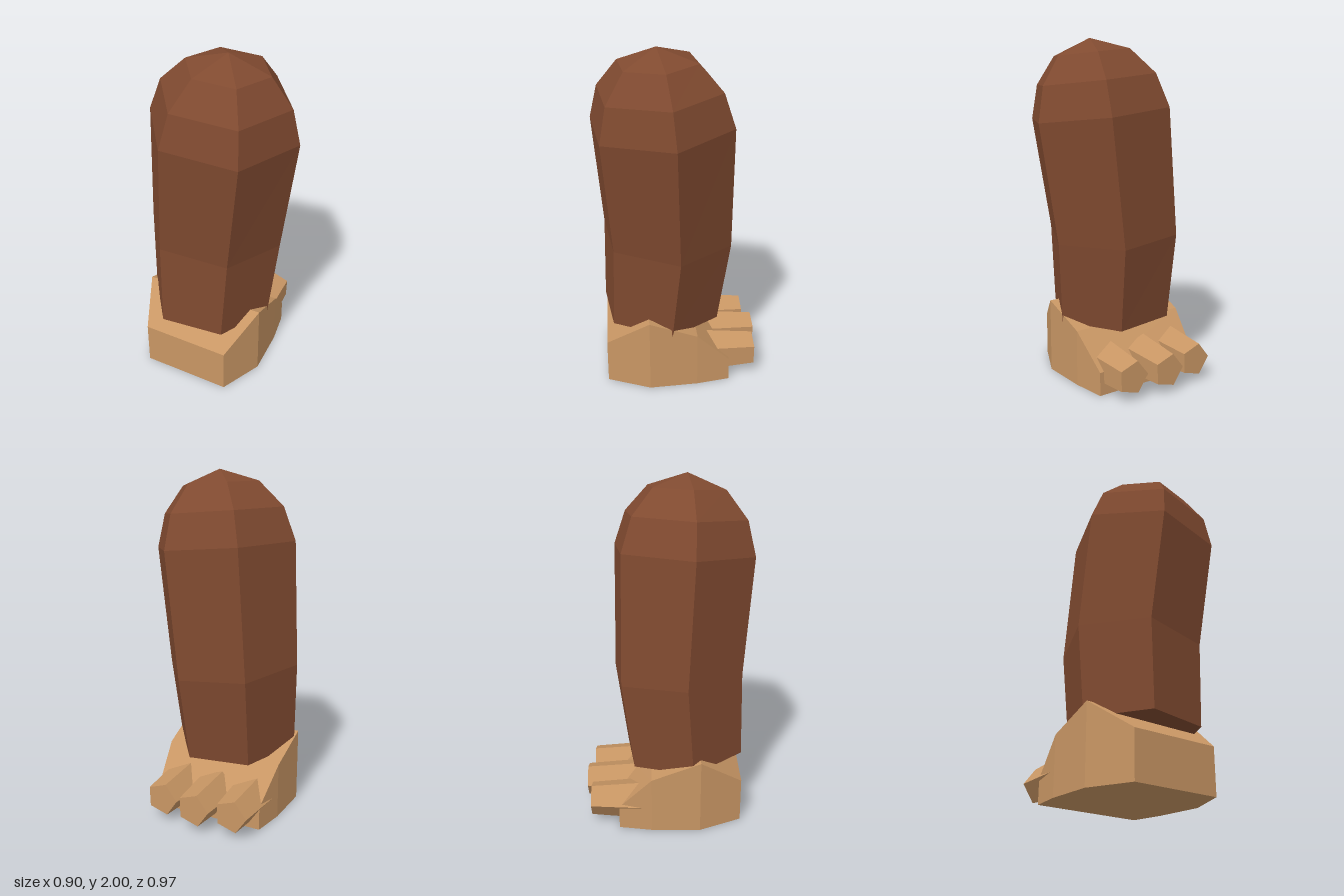
import * as THREE from 'three';

const legBrown = new THREE.MeshStandardMaterial({ color: 0x804a30 });
const footTan = new THREE.MeshStandardMaterial({ color: 0xc89664 });
legBrown.name = 'legBrown';
footTan.name = 'footTan';

// Faceted mesh with hard edges
function facetedMesh(name, geometry, material) {
  const flat = geometry.index ? geometry.toNonIndexed() : geometry;
  flat.computeVertexNormals();
  const mesh = new THREE.Mesh(flat, material);
  mesh.name = name;
  return mesh;
}

// Closed loft through rings of points, each counterclockwise seen from the far end
function loft(rings) {
  const out = [];
  const tri = (a, b, c) => out.push(...a, ...b, ...c);
  const n = rings[0].length;
  for (let i = 0; i < rings.length - 1; i++) {
    for (let j = 0; j < n; j++) {
      const k = (j + 1) % n;
      const a = rings[i], b = rings[i + 1];
      tri(a[j], a[k], b[k]);
      tri(a[j], b[k], b[j]);
    }
  }
  const first = rings[0], last = rings[rings.length - 1];
  for (let j = 1; j < n - 1; j++) {
    tri(first[0], first[j + 1], first[j]);
    tri(last[0], last[j], last[j + 1]);
  }
  const geometry = new THREE.BufferGeometry();
  geometry.setAttribute('position', new THREE.Float32BufferAttribute(out, 3));
  return geometry;
}

// Six-sided ring, tilted by tx towards +x and tz towards +z
function hexRing([x, y, z, r, tx, tz]) {
  return Array.from({ length: 6 }, (_, i) => {
    const c = Math.cos(i * Math.PI / 3), s = -Math.sin(i * Math.PI / 3);
    return [x + r * c, y + tx * c + tz * s, z + r * s];
  });
}

export function createModel() {
  const model = new THREE.Group();
  model.name = 'legWithFoot';

  // Leg: bent hexagonal column with a domed top (x, y, z, radius, tilts)
  const legRings = [
    [-0.065, 0.358, 0.11, 0.37, -0.01, 0.025],
    [-0.048, 0.865, 0.07, 0.403, -0.03, 0.018],
    [0.02, 1.572, 0.11, 0.43, -0.04, -0.025],
    [0.037, 1.768, 0.123, 0.37, -0.033, -0.022],
    [0.055, 1.92, 0.133, 0.235, -0.02, -0.013],
    [0.06, 2.0, 0.14, 0.002, 0, 0],
  ].map(hexRing);
  model.add(facetedMesh('leg', loft(legRings), legBrown));

  // Foot: wedge from heel to toe edge (right x, z, left x, z, top y)
  const footRings = [
    [-0.372, 0.408, 0.155, 0.48, 0.265],
    [-0.45, 0.15, 0.295, 0.245, 0.445],
    [-0.41, -0.13, 0.316, -0.04, 0.335],
    [-0.355, -0.315, 0.308, -0.24, 0.14],
  ].map(([xr, zr, xl, zl, y]) => [[xr, 0, zr], [xr, y, zr], [xl, y, zl], [xl, 0, zl]]);
  model.add(facetedMesh('foot', loft(footRings), footTan));

  // Three tapered five-sided toes, turned slightly with the foot
  const length = 0.3, turn = -0.127;
  [[-0.232, -0.467], [-0.007, -0.475], [0.212, -0.415]].forEach(([x, z], i) => {
    const geometry = new THREE.CylinderGeometry(0.1, 0.125, length, 5)
      .rotateY(-0.28)
      .rotateX(-Math.PI / 2)
      .translate(0, 0, length / 2)
      .rotateY(turn)
      .translate(x, 0.14, z);
    model.add(facetedMesh('toe' + (i + 1), geometry, footTan));
  });

  return model;
}
